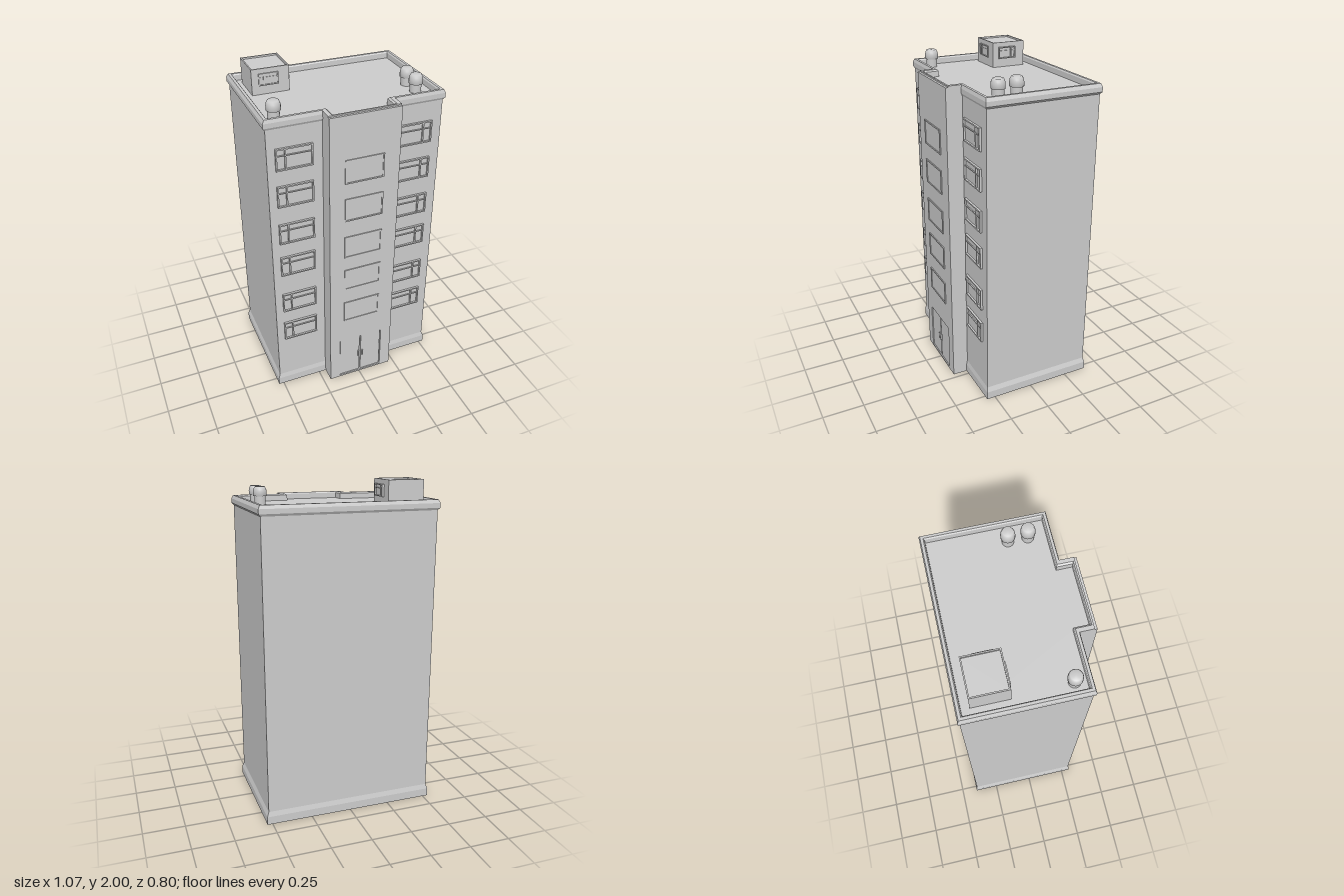
import * as THREE from 'three';

const material = new THREE.MeshStandardMaterial({ color: 0xcccccc, flatShading: true });
const smooth = new THREE.MeshStandardMaterial({ color: 0xcccccc });

function add(parent, name, geometry, x = 0, y = 0, z = 0, mat = material) {
  const mesh = new THREE.Mesh(geometry, mat);
  mesh.name = name;
  mesh.position.set(x, y, z);
  parent.add(mesh);
  return mesh;
}

const box = (w, h, d) => new THREE.BoxGeometry(w, h, d);

// Rectangle path, usable as an outline or a hole
function rect(PathType, x0, y0, x1, y1) {
  return new PathType([[x0, y0], [x1, y0], [x1, y1], [x0, y1]].map(p => new THREE.Vector2(...p)));
}

// Plan outline, grown by o; the front bay only follows when o is inward
function outline(o) {
  const inn = Math.min(o, 0);
  const x = 0.521 + o, back = -0.391 + Math.max(o * 0.7, 0) * -1 - inn;
  const front = 0.296 + Math.max(o * 0.6, 0) + inn;
  const l = -0.204 - inn * 1.7, r = 0.219 + inn * 1.7, bay = 0.379 + inn * 0.7;
  return [[-x, back], [-x, front], [l, front], [l, bay], [r, bay], [r, front], [x, front], [x, back]];
}

// Walls lofted through [height, offset] rings
function loft(rings) {
  const pos = [];
  for (let k = 0; k + 1 < rings.length; k++) {
    const [y0, o0] = rings[k], [y1, o1] = rings[k + 1];
    const A = outline(o0), B = outline(o1);
    A.forEach((a, i) => {
      const j = (i + 1) % A.length, b = A[j], c = B[j], d = B[i];
      const p = [a[0], y0, a[1]], q = [b[0], y0, b[1]], r = [c[0], y1, c[1]], s = [d[0], y1, d[1]];
      pos.push(...p, ...q, ...r, ...p, ...r, ...s);
    });
  }
  const g = new THREE.BufferGeometry();
  g.setAttribute('position', new THREE.Float32BufferAttribute(pos, 3));
  g.computeVertexNormals();
  return g;
}

// Flat cap over the plan outline, facing up or down
function cap(o, up) {
  const s = up ? -1 : 1;
  const shape = new THREE.Shape(outline(o).map(([x, z]) => new THREE.Vector2(x, s * z)));
  return new THREE.ShapeGeometry(shape).rotateX(s * Math.PI / 2);
}

// Window centred on its wall point, facing +z; mullion is a side (-1, 0, 1), 0 is a plain pane
function makeWindow(name, w, h, depth, mullion, t = 0.008) {
  const g = new THREE.Group();
  g.name = name;
  const shape = rect(THREE.Shape, -w / 2, -h / 2, w / 2, h / 2);
  shape.holes.push(rect(THREE.Path, -w / 2 + t, -h / 2 + t, w / 2 - t, h / 2 - t));
  add(g, 'windowFrame', new THREE.ExtrudeGeometry(shape, { depth, bevelEnabled: false }));
  add(g, 'windowPane', box(w - t, h - t, 0.004), 0, 0, 0);
  if (mullion) {
    const x = mullion * w * 0.24;
    add(g, 'mullion', box(t, h - t, depth * 0.9), x, 0, depth * 0.45);
    add(g, 'transom', box(w - t, t * 0.7, depth * 0.7), 0, h * 0.16, depth * 0.35);
  }
  return g;
}

export function createModel() {
  const model = new THREE.Group();
  model.name = 'apartmentBuilding';

  // Walls with plinth, cornice and parapet in one profile
  add(model, 'walls', loft([
    [0, 0.011], [0.05, 0.011], [0.08, 0], [1.83, 0], [1.843, 0.012], [1.87, 0.012],
    [1.89, 0.002], [1.89, -0.014], [1.882, -0.02], [1.85, -0.021],
  ]));
  add(model, 'roof', cap(-0.021, true), 0, 1.85, 0);
  add(model, 'underside', cap(0.011, false));

  // Front bay face with the doorway cut out
  const face = rect(THREE.Shape, -0.204, 0, 0.219, 1.882);
  face.holes.push(rect(THREE.Path, -0.14, 0.012, 0.15, 0.312));
  add(model, 'bayFace', new THREE.ExtrudeGeometry(face, { depth: 0.014, bevelEnabled: false }), 0, 0, 0.379);

  // Double door with handles
  for (const side of [-1, 1]) {
    add(model, 'doorLeaf', box(0.135, 0.292, 0.012), 0.005 + side * 0.0725, 0.162, 0.382);
    add(model, 'doorHandle', box(0.007, 0.04, 0.014), 0.005 + side * 0.014, 0.165, 0.392);
  }

  // Bay windows
  for (const y of [0.555, 0.805, 1.045, 1.302, 1.548]) {
    const w = makeWindow('bayWindow', 0.235, 0.148, 0.006, 0);
    w.position.set(0.005, y, 0.393);
    model.add(w);
  }

  // Wing windows, mirrored about the bay
  for (const y of [0.445, 0.67, 0.945, 1.173, 1.42, 1.65]) {
    for (const side of [-1, 1]) {
      const w = makeWindow('wingWindow', 0.213, 0.132, 0.013, side);
      w.position.set(-0.007 + side * 0.361, y, 0.296);
      model.add(w);
    }
  }

  // Rooftop hut with a shallow rimmed top
  const hut = new THREE.Group();
  hut.name = 'roofHut';
  hut.position.set(-0.35, 1.85, -0.22);
  add(hut, 'hutWalls', box(0.22, 0.14, 0.21), 0, 0.07, 0);
  const rim = rect(THREE.Shape, -0.11, -0.105, 0.11, 0.105);
  rim.holes.push(rect(THREE.Path, -0.102, -0.097, 0.102, 0.097));
  const rimGeometry = new THREE.ExtrudeGeometry(rim, { depth: 0.01, bevelEnabled: false });
  add(hut, 'hutRim', rimGeometry.rotateX(-Math.PI / 2), 0, 0.14, 0);
  const frontWindow = makeWindow('hutFrontWindow', 0.115, 0.07, 0.007, -1, 0.006);
  frontWindow.position.set(-0.012, 0.087, 0.105);
  const sideWindow = makeWindow('hutSideWindow', 0.112, 0.07, 0.013, 1, 0.006);
  sideWindow.position.set(0.11, 0.087, 0.013);
  sideWindow.rotation.y = Math.PI / 2;
  hut.add(frontWindow, sideWindow);
  model.add(hut);

  // Round roof vents with overhanging rounded caps
  const stem = [[0.033, 0], [0.033, 0.06]];
  const hood = [[0.033, 0.05], [0.04, 0.05], [0.04, 0.075], [0.037, 0.09], [0.03, 0.104], [0, 0.104]];
  const lathe = pts => new THREE.LatheGeometry(pts.map(p => new THREE.Vector2(...p)), 24);
  for (const [x, z] of [[0.41, 0.065], [0.41, 0.175], [-0.443, 0.212]]) {
    const vent = new THREE.Group();
    vent.name = 'roofVent';
    vent.position.set(x, 1.85, z);
    add(vent, 'ventStem', lathe(stem), 0, 0, 0, smooth);
    add(vent, 'ventCap', lathe(hood), 0, 0, 0, smooth);
    model.add(vent);
  }

  return model;
}
